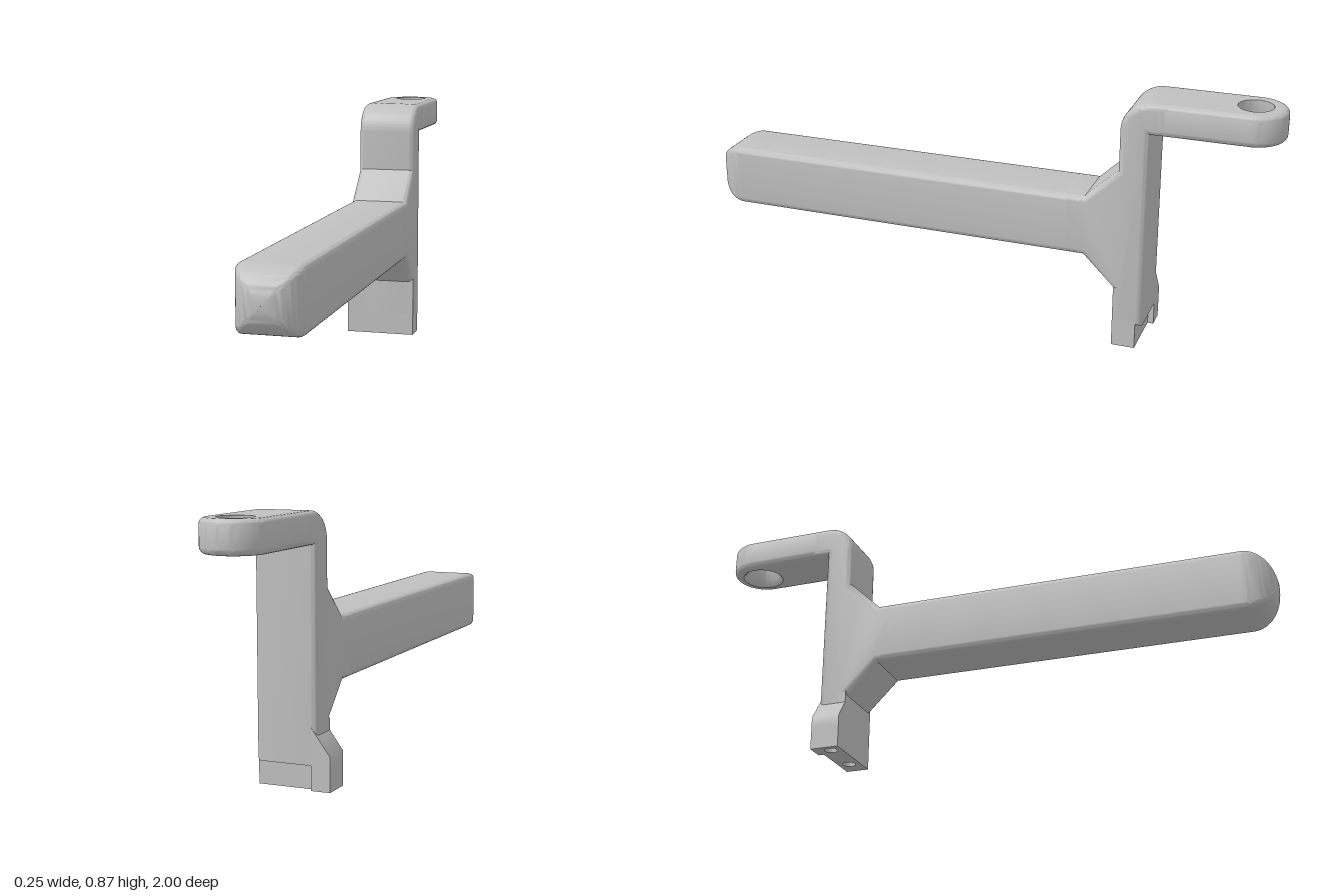
import * as THREE from 'three';
import { toCreasedNormals } from 'three/addons/utils/BufferGeometryUtils.js';

const CX = 0.02;      // centre line of the bracket
const R = 0.105;      // half width of the bracket
const F = 0.02;       // edge rounding

// skin over closed rings of [x, y, z] points
function loft(rings) {
  const n = rings[0].length, pos = rings.flat(2), idx = [];
  for (let i = 0; i < rings.length - 1; i++) {
    for (let j = 0; j < n; j++) {
      const a = i * n + j, b = i * n + (j + 1) % n;
      idx.push(a, b, b + n, a, b + n, a + n);
    }
  }
  const g = new THREE.BufferGeometry();
  g.setAttribute('position', new THREE.Float32BufferAttribute(pos, 3));
  g.setIndex(idx);
  return g;
}

const shapeOf = (pts) => new THREE.Shape(pts.map(([x, y]) => new THREE.Vector2(x, y)));

function circleHole(x, y, r) {
  return new THREE.Path().absarc(x, y, r, 0, Math.PI * 2, true);
}

export function createModel() {
  const group = new THREE.Group();
  const grey = new THREE.MeshStandardMaterial({ color: 0xc0c0c0, side: THREE.DoubleSide });
  grey.name = 'grey';
  const add = (name, geometry, parent = group) => {
    const mesh = new THREE.Mesh(toCreasedNormals(geometry, 0.7), grey);
    mesh.name = name;
    parent.add(mesh);
    return mesh;
  };

  // post with gussets and elbow: side profile (z, y) with rounded edges
  const profile = new THREE.Shape();
  profile.moveTo(-0.585, 0.08);
  profile.lineTo(-0.485, 0.08);
  profile.lineTo(-0.485, 0.205);
  profile.lineTo(-0.375, 0.315);
  profile.lineTo(-0.3, 0.315);
  profile.lineTo(-0.3, 0.525);
  profile.lineTo(-0.375, 0.525);
  profile.lineTo(-0.485, 0.63);
  profile.lineTo(-0.485, 0.77);
  profile.absarc(-0.585, 0.77, 0.1, 0, Math.PI / 2, false);
  profile.lineTo(-0.65, 0.87);
  profile.lineTo(-0.65, 0.765);
  profile.lineTo(-0.585, 0.765);
  const post = new THREE.ExtrudeGeometry(profile, {
    depth: 2 * (R - F), bevelEnabled: true, bevelThickness: F, bevelSize: F,
    bevelOffset: -F, bevelSegments: 5, curveSegments: 14,
  });
  post.rotateY(-Math.PI / 2).translate(CX + R - F, 0, 0);
  add('post', post);

  // long bar: rounded square sections closing along a quarter circle at the tip
  const section = (h, z) => {
    const c = F * h / R, ring = [];
    for (let q = 0; q < 4; q++) {
      const mid = (q + 0.5) * Math.PI / 2;
      const x = Math.sign(Math.cos(mid)) * (h - c), y = Math.sign(Math.sin(mid)) * (h - c);
      for (let k = 0; k <= 5; k++) {
        const a = (q + k / 5) * Math.PI / 2;
        ring.push([CX + x + c * Math.cos(a), 0.42 + y + c * Math.sin(a), z]);
      }
    }
    return ring;
  };
  const sections = [section(R, -0.36)];
  for (let i = 0; i <= 16; i++) {
    const t = i / 16 * Math.PI / 2;
    sections.push(section(Math.max(R * Math.cos(t), 0.0005), 1 - R + R * Math.sin(t)));
  }
  add('bar', loft(sections));

  // upper arm: round-ended plate with rounded rim and a countersunk hole
  const arm = new THREE.Group();
  arm.name = 'arm';
  group.add(arm);
  const Y0 = 0.765, Y1 = 0.87, HZ = R - 1, HR = 0.057, SINK = 0.073;
  const outline = (inset) => {
    const r = R - inset, pts = [[CX + r, -0.61]];
    for (let i = 0; i <= 32; i++) {
      const a = i / 32 * Math.PI;
      pts.push([CX + r * Math.cos(a), HZ - r * Math.sin(a)]);
    }
    pts.push([CX - r, -0.61]);
    return pts;
  };
  const rim = [];
  for (const top of [false, true]) {
    for (let k = 0; k <= 5; k++) {
      const a = (top ? k : 5 - k) / 5 * Math.PI / 2;
      const y = top ? Y1 - F + F * Math.sin(a) : Y0 + F - F * Math.sin(a);
      rim.push(outline(F * (1 - Math.cos(a))).map(([x, z]) => [x, y, z]));
    }
  }
  add('armRim', loft(rim), arm);
  for (const [name, s, y, r] of [['armTop', -1, Y1, HR], ['armUnderside', 1, Y0, SINK]]) {
    const face = shapeOf(outline(F).map(([x, z]) => [x, s * z]));
    face.holes.push(circleHole(CX, s * HZ, r));
    add(name, new THREE.ShapeGeometry(face, 24).rotateX(s * Math.PI / 2).translate(0, y, 0), arm);
  }
  const bore = [[HR, Y1], [HR, Y0 + 0.02], [SINK, Y0]].map(([x, y]) => new THREE.Vector2(x, y));
  add('armHole', new THREE.LatheGeometry(bore, 48).translate(CX, 0, HZ), arm);

  // foot base: plan outline (x, -z) with a rear recess and two screw holes
  const plan = shapeOf([[-0.13, 0.485], [0.125, 0.485], [0.125, 0.565],
    [-0.065, 0.565], [-0.065, 0.585], [-0.13, 0.585]]);
  plan.holes.push(circleHole(0.055, 0.525, 0.022), circleHole(-0.095, 0.525, 0.022));
  add('footBase', new THREE.ExtrudeGeometry(plan, { depth: 0.08, bevelEnabled: false, curveSegments: 16 })
    .rotateX(-Math.PI / 2));

  // foot upper block, and the side lug reaching the full depth
  const slab = (pts, depth) => new THREE.ExtrudeGeometry(shapeOf(pts), { depth, bevelEnabled: false })
    .translate(0, 0, -0.485 - depth);
  add('footBlock', slab([[-0.085, 0.08], [0.125, 0.08], [0.125, 0.215], [-0.085, 0.215]], 0.08));
  add('footLug', slab([[-0.13, 0.08], [-0.065, 0.08], [-0.065, 0.202], [-0.085, 0.175], [-0.13, 0.113]], 0.1));

  return group;
}
